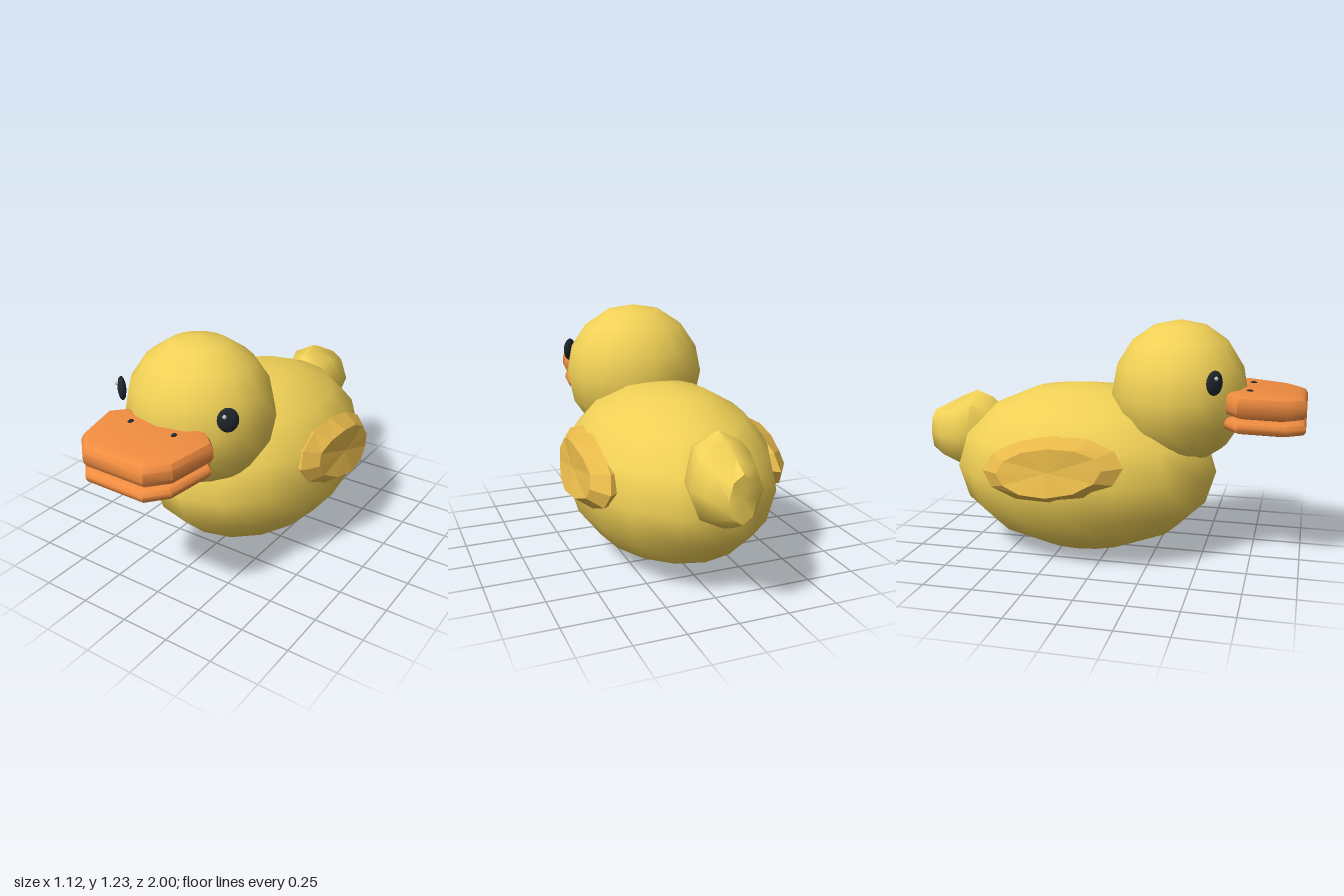
import * as THREE from 'three';
import { toCreasedNormals } from 'three/addons/utils/BufferGeometryUtils.js';

const mat = (color, flatShading = false) => new THREE.MeshStandardMaterial({ color, flatShading });

// Skin through rings of points, closed at the last ring
function loft(rings) {
  const n = rings[0].length;
  const pts = rings.flat();
  const last = rings[rings.length - 1];
  const centre = last.reduce((c, p) => c.addScaledVector(p, 1 / n), new THREE.Vector3());
  const index = [];
  for (let i = 0; i < rings.length; i++) {
    for (let j = 0; j < n; j++) {
      const a = i * n + j, b = i * n + (j + 1) % n;
      if (i < rings.length - 1) index.push(a, a + n, b, b, a + n, b + n);
      else index.push(pts.length, b, a);
    }
  }
  const geo = new THREE.BufferGeometry().setFromPoints([...pts, centre]);
  geo.setIndex(index);
  geo.computeVertexNormals();
  return geo;
}

function ring(n, fn) {
  return Array.from({ length: n }, (_, i) => {
    const a = (i / n) * Math.PI * 2;
    return new THREE.Vector3(...fn(Math.cos(a), Math.sin(a)));
  });
}

export function createModel() {
  const duck = new THREE.Group();
  duck.name = 'toyDuck';
  const yellow = mat(0xf0d056), wingYellow = mat(0xe6b84a, true);
  const orange = mat(0xf08c40), dark = mat(0x20272d), white = mat(0xffffff);

  function add(name, geo, material, pos = [0, 0, 0]) {
    const mesh = new THREE.Mesh(geo, material);
    mesh.name = name;
    mesh.position.set(...pos);
    duck.add(mesh);
    return mesh;
  }
  const ball = (w, h, x, y, z) => new THREE.SphereGeometry(1, w, h).scale(x, y, z);

  // Body and head
  add('body', ball(16, 8, 0.52, 0.445, 0.7), yellow, [0, 0.445, -0.14]);
  add('head', ball(16, 8, 0.375, 0.37, 0.35), yellow, [0, 0.856, 0.36]);

  // Upturned tail: z, bottom, top, half width
  const tail = [
    [-0.60, 0.45, 0.73, 0.1], [-0.66, 0.42, 0.785, 0.13], [-0.75, 0.39, 0.82, 0.165],
    [-0.82, 0.38, 0.79, 0.168], [-0.92, 0.425, 0.74, 0.14], [-1, 0.47, 0.7, 0.068],
  ];
  const tailRings = tail.map(([z, lo, hi, w]) =>
    ring(8, (c, s) => [w * c, (lo + hi) / 2 + s * (hi - lo) / 2, z]));
  add('tail', toCreasedNormals(loft(tailRings), 0.9), yellow);

  // Bill: bevelled plates that slope slightly down to the front
  function bill(name, width, top, height, bevel, round) {
    const half = [[0.17, 1], [0.26, 0.91], [0.305, 0.68], [0.25, 0.63], [0.16, 0.56]];
    const outline = [...half, ...half.map(([x, z]) => [-x, z]).reverse()];
    const shape = new THREE.Shape(outline.map(([x, z]) => new THREE.Vector2(x * width, z)));
    const geo = new THREE.ExtrudeGeometry(shape, {
      depth: height - 2 * bevel, bevelThickness: bevel, bevelSize: round,
      bevelOffset: -round, bevelSegments: 2,
    });
    geo.rotateX(Math.PI / 2).translate(0, top - bevel, 0);
    const p = geo.attributes.position;
    for (let i = 0; i < p.count; i++) p.setY(i, p.getY(i) - 0.065 * (p.getZ(i) - 0.64));
    add(name, toCreasedNormals(geo, 0.75), orange);
  }
  bill('upperBill', 1, 0.903, 0.115, 0.035, 0.045);
  bill('lowerBill', 0.96, 0.778, 0.064, 0.025, 0.035);

  for (const s of [1, -1]) {
    const side = s > 0 ? 'left' : 'right';

    // Wing: hidden root, wide rim, then a smaller raised plate
    const wingRing = (rz, ry, xAt) => ring(12, (c, sn) => {
      const v = sn * s;
      return [s * xAt(c, v), 0.53 + ry * v + 0.085 * rz * c, -0.19 + rz * c];
    });
    add(side + 'Wing', loft([
      wingRing(0.3, 0.13, () => 0.34),
      wingRing(0.36, 0.16, (c, v) => 0.45 - 0.035 * v + 0.01 * c),
      wingRing(0.265, 0.115, (c, v) => 0.56 - 0.05 * c * c - 0.05 * Math.max(0, v)),
    ]), wingYellow);

    // Eye with highlight, and nostril
    const eye = add(side + 'Eye', ball(14, 10, 0.05, 0.06, 0.02), dark, [s * 0.308, 0.96, 0.572]);
    eye.rotation.y = s * 0.7;
    const glint = s > 0 ? [0.307, 0.985, 0.597] : [-0.328, 0.985, 0.582];
    add(side + 'EyeHighlight', ball(8, 6, 0.01, 0.01, 0.01), white, glint);
    add(side + 'Nostril', ball(8, 6, 0.013, 0.007, 0.017), dark, [s * 0.125, 0.899, 0.725]);
  }
  return duck;
}
